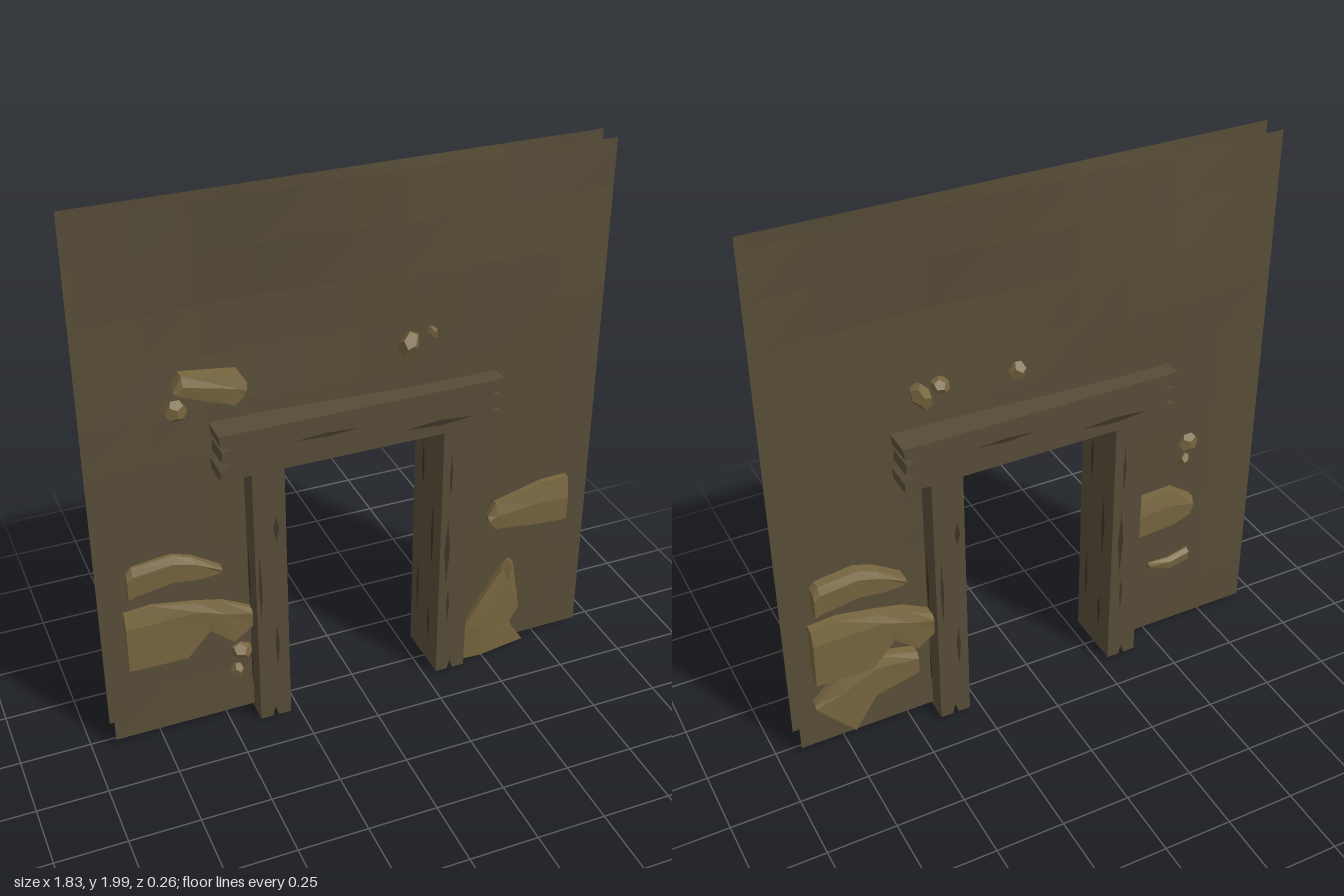
import * as THREE from 'three';

const mat = (name, color) => {
  const m = new THREE.MeshStandardMaterial({ color, flatShading: true });
  m.name = name;
  return m;
};

// Flat-shaded geometry from a list of quads, each given as four corners
function quadGeometry(quads) {
  const pos = [];
  for (const [a, b, c, d] of quads) for (const p of [a, b, c, a, c, d]) pos.push(...p);
  const g = new THREE.BufferGeometry();
  g.setAttribute('position', new THREE.Float32BufferAttribute(pos, 3));
  g.computeVertexNormals();
  return g;
}

// Rough wall sheet, warped in depth, with a doorway left open
function wallSheet() {
  const xs = [-0.917, -0.72, -0.53, -0.345, -0.17, 0, 0.17, 0.345, 0.53, 0.73, 0.917];
  const ys = [0.04, 0.22, 0.4, 0.58, 0.76, 0.94, 1.14, 1.3, 1.47, 1.65, 1.83, 2];
  const amp = [0, 0.01, 0.012, 0.012, 0.012, 0.014, 0.018, 0.024, 0.034, 0.03, 0.012, 0];
  const point = (i, j) => {
    const wave = Math.sin((Math.PI * xs[i]) / 0.917);
    const rough = 0.3 * Math.sin(i * 12.9 + j * 7.3) * Math.sin((Math.PI * i) / 10);
    return [xs[i], ys[j], 0.045 + amp[j] * (wave + rough)];
  };
  const quads = [];
  for (let i = 0; i < xs.length - 1; i++)
    for (let j = 0; j < ys.length - 1; j++) {
      if (i >= 3 && i < 7 && j < 6) continue;
      quads.push([point(i, j), point(i + 1, j), point(i + 1, j + 1), point(i, j + 1)]);
    }
  return quadGeometry(quads);
}

// Stone slab between two edge lines, bevelled along the first edge
function slab(top, bottom, front, bevel = 0.25) {
  const back = 0.02;
  const rings = top.map((t, i) => {
    const b = bottom[i];
    const mid = t.map((v, k) => v + (b[k] - v) * bevel);
    return [[...t, back], [...t, front - 0.015], [...mid, front], [...b, front - 0.005], [...b, back]];
  });
  const quads = [];
  for (let i = 0; i < rings.length - 1; i++)
    for (let k = 0; k < 5; k++) {
      const n = (k + 1) % 5;
      quads.push([rings[i][k], rings[i][n], rings[i + 1][n], rings[i + 1][k]]);
    }
  const s = rings[0], e = rings[rings.length - 1];
  quads.push([s[0], s[4], s[3], s[1]], [s[1], s[3], s[2], s[2]]);
  quads.push([e[0], e[1], e[3], e[4]], [e[1], e[2], e[3], e[3]]);
  return quadGeometry(quads);
}

// Timber beam: a front outline extruded through the wall
function beam(points, depth) {
  const shape = new THREE.Shape(points.map(([x, y]) => new THREE.Vector2(x, y)));
  return new THREE.ExtrudeGeometry(shape, { depth, bevelEnabled: false }).translate(0, 0, -depth / 2);
}

export function createModel() {
  const model = new THREE.Group();
  const earth = mat('earth wall', 0x574c37);
  earth.side = THREE.DoubleSide;
  const wood = mat('old wood', 0x574b38);
  const dark = mat('wood cracks', 0x3d3426);
  const rock = mat('stone', 0x76653f);

  const add = (parent, name, geometry, material) => {
    const m = new THREE.Mesh(geometry, material);
    m.name = name;
    parent.add(m);
    return m;
  };

  // Slabs common to both faces
  const shelfTop = [[-0.83, 0.735], [-0.81, 0.757], [-0.67, 0.77], [-0.6, 0.745], [-0.5, 0.68]];
  const shelfLow = [[-0.83, 0.635], [-0.81, 0.645], [-0.67, 0.667], [-0.58, 0.655], [-0.5, 0.66]];
  const blockTop = [[-0.85, 0.58], [-0.75, 0.585], [-0.6, 0.555], [-0.5, 0.53], [-0.395, 0.475]];
  const blockLow = [[-0.85, 0.34], [-0.64, 0.335], [-0.555, 0.43], [-0.47, 0.355], [-0.395, 0.41]];

  const faces = [
    {
      name: 'front',
      slabs: [
        [shelfTop, shelfLow, 0.065],
        [blockTop, blockLow, 0.068],
        [[[0.5, 0.64], [0.53, 0.69], [0.72, 0.735], [0.82, 0.735]],
          [[0.5, 0.61], [0.53, 0.585], [0.68, 0.565], [0.82, 0.555]], 0.09, 0.45],
        [[[0.41, 0.01], [0.43, 0.17], [0.5, 0.28], [0.575, 0.39], [0.6, 0.415]],
          [[0.67, 0.04], [0.63, 0.1], [0.61, 0.14], [0.645, 0.2], [0.61, 0.415]], 0.09, 0.3],
        [[[-0.63, 1.39], [-0.6, 1.44], [-0.41, 1.415], [-0.385, 1.375]],
          [[-0.625, 1.38], [-0.6, 1.37], [-0.43, 1.305], [-0.4, 1.33]], 0.075, 0.45],
      ],
      pebbles: [[-0.62, 1.31, 0.04], [0.18, 1.4, 0.053], [0.26, 1.43, 0.03], [-0.44, 0.3, 0.04], [-0.46, 0.215, 0.03]],
    },
    {
      name: 'back',
      slabs: [
        [shelfTop, shelfLow, 0.09],
        [blockTop, blockLow, 0.09],
        [[[-0.86, 0.24], [-0.76, 0.335], [-0.62, 0.37], [-0.47, 0.33]],
          [[-0.86, 0.22], [-0.72, 0.07], [-0.635, 0.2], [-0.47, 0.24]], 0.085],
        [[[0.37, 0.69], [0.555, 0.7], [0.64, 0.64]], [[0.37, 0.53], [0.56, 0.545], [0.63, 0.57]], 0.1, 0.4],
        [[[0.48, 0.365], [0.57, 0.36], [0.65, 0.38]], [[0.48, 0.345], [0.57, 0.315], [0.65, 0.33]], 0.075],
      ],
      pebbles: [[0.62, 0.87, 0.042], [0.61, 0.8, 0.03], [-0.4, 1.36, 0.05], [-0.33, 1.38, 0.033], [-0.06, 1.36, 0.038]],
    },
  ];

  // Each face has its own sheet, slabs and pebbles; the back is turned half round
  const sheet = wallSheet();
  faces.forEach(({ name, slabs, pebbles }, f) => {
    const face = new THREE.Group();
    face.name = name + 'Face';
    face.rotation.y = f * Math.PI;
    add(face, name + 'Wall', sheet, earth);
    slabs.forEach((s) => add(face, name + 'StoneSlab', slab(...s), rock));
    pebbles.forEach(([x, y, r], i) => {
      const p = add(face, name + 'Pebble', new THREE.DodecahedronGeometry(r), rock);
      p.position.set(x, y, 0.042 + 0.02 * Math.sign(x) * (x > 0 ? 0.6 : 0.1));
      p.rotation.set(i * 0.7, i, i * 1.3);
      p.scale.z = 0.7;
    });
    model.add(face);
  });

  // Door posts with split feet
  const postX = [-0.343, 0.35];
  postX.forEach((x, i) => {
    const outline = [[-0.057, 0.02], [-0.012, 0.02], [0, 0.065], [0.01, 0.02], [0.057, 0.02], [0.057, 1.075], [-0.057, 1.075]];
    add(model, i ? 'leftPost' : 'rightPost', beam(outline.map(([a, b]) => [a + x, b]), 0.23), wood);
  });

  // Lintel with notched ends
  const end = [[0.505, 1.07], [0.505, 1.105], [0.465, 1.125], [0.5, 1.14], [0.495, 1.175], [0.46, 1.185], [0.5, 1.197], [0.505, 1.237]];
  const lintel = [...end, ...end.map(([x, y]) => [-x - 0.005, y]).reverse()];
  add(model, 'lintel', beam(lintel, 0.26), wood);

  // Long thin cracks on the timber
  const crack = (x, y, z, w, h, turn) => {
    const c = add(model, 'woodCrack', new THREE.CircleGeometry(1, 4), dark);
    c.scale.set(w, h, 1);
    c.position.set(x, y, z);
    c.rotation.y = turn;
  };
  for (const s of [1, -1]) {
    const turn = s > 0 ? 0 : Math.PI;
    crack(-0.14 * s, 1.165, 0.132 * s, 0.11, 0.008, turn);
    crack(0.27 * s, 1.117, 0.132 * s, 0.13, 0.011, turn);
    crack(-0.322 * s, 0.83, 0.117 * s, 0.011, 0.05, turn);
    crack(-0.33 * s, 0.34, 0.117 * s, 0.008, 0.09, turn);
    crack(-0.385 * s, 0.6, 0.117 * s, 0.007, 0.14, turn);
    crack(0.32 * s, 0.56, 0.117 * s, 0.011, 0.14, turn);
    crack(0.33 * s, 0.32, 0.117 * s, 0.006, 0.08, turn);
    crack(0.325 * s, 0.88, 0.117 * s, 0.006, 0.1, turn);
    for (const x of postX)
      for (const [y, z, h] of [[0.85, 0.04, 0.1], [0.6, -0.05, 0.14], [0.3, 0.06, 0.12], [0.2, -0.04, 0.08]])
        crack(x + 0.059 * s, y, z * s, 0.011, h, (s * Math.PI) / 2);
  }
  return model;
}
